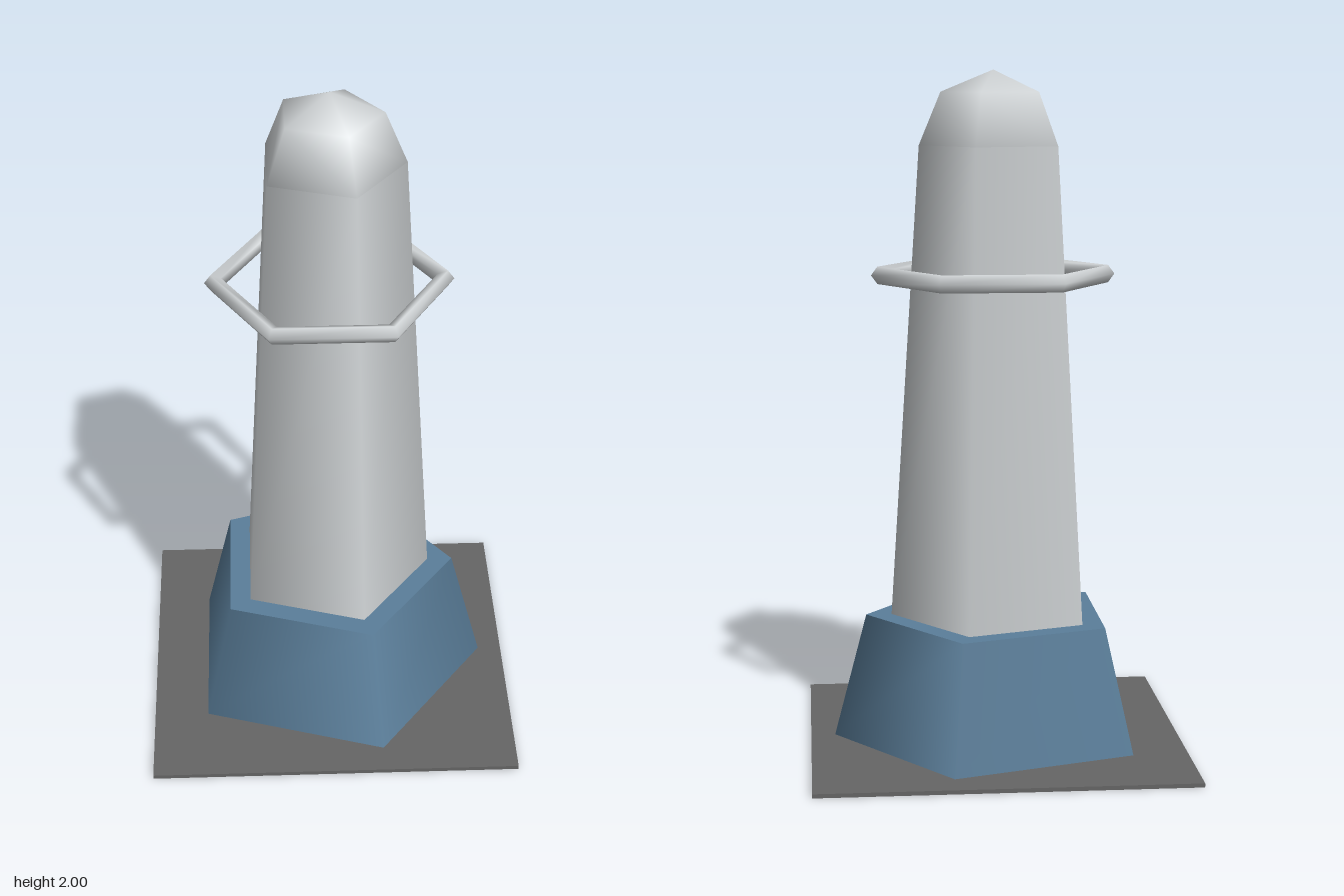
import * as THREE from 'three';

export function createModel() {
  const group = new THREE.Group();
  const paint = (name, color) => {
    const m = new THREE.MeshStandardMaterial({ color });
    m.name = name;
    return m;
  };
  const paleGrey = paint('pale grey', 0xd0d4d6);
  const blue = paint('slate blue', 0x5b7f9b);
  const darkGrey = paint('dark grey', 0x666666);

  const add = (name, geometry, material, y) => {
    const mesh = new THREE.Mesh(geometry, material);
    mesh.name = name;
    mesh.position.y = y;
    group.add(mesh);
  };

  // Five-sided tapered column with one corner towards +x
  const taper = (top, bottom, height) =>
    new THREE.CylinderGeometry(top, bottom, height, 5, 1, false, Math.PI / 2);

  // Square ground plate
  add('groundPlate', new THREE.BoxGeometry(1.104, 0.012, 1.104), darkGrey, 0.006);

  // Wide foot and tall shaft
  add('foot', taper(0.383, 0.48, 0.37), blue, 0.197);
  add('shaft', taper(0.218, 0.307, 1.402), paleGrey, 1.081);

  // Faceted dome cap
  add('domeCap', new THREE.SphereGeometry(0.218, 5, 2, Math.PI, Math.PI * 2, 0, Math.PI / 2), paleGrey, 1.782);

  // Six-sided ring standing free of the shaft
  add('ring', new THREE.TorusGeometry(0.333, 0.027, 5, 6).rotateX(Math.PI / 2), paleGrey, 1.403);

  return group;
}
